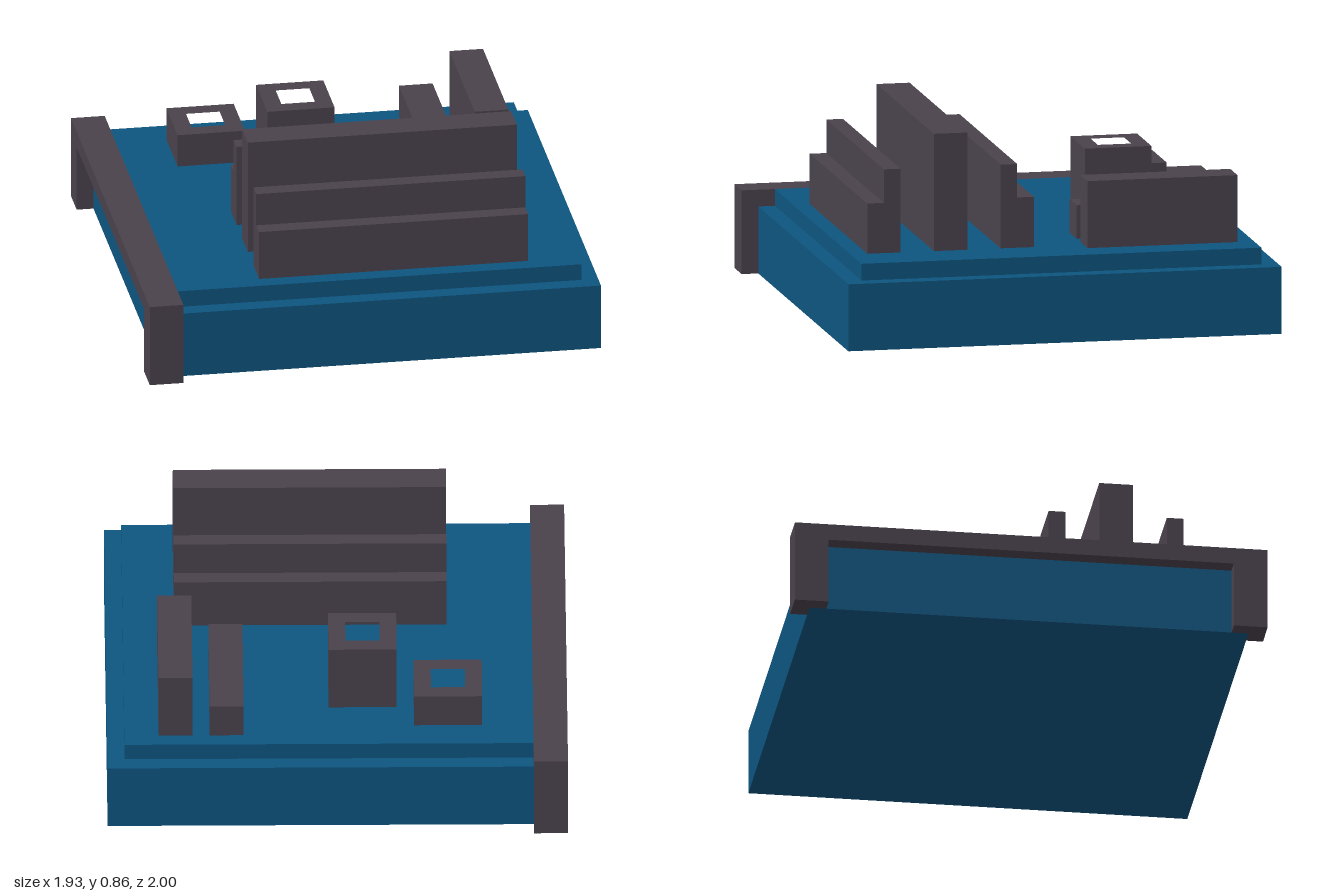
import * as THREE from 'three';

const U = 1 / 14; // grid unit of the blocky design
const DECK = 5; // deck height in grid units

export function createModel() {
  const group = new THREE.Group();
  const blue = new THREE.MeshStandardMaterial({ name: 'boardBlue', color: 0x0d5580 });
  const grey = new THREE.MeshStandardMaterial({ name: 'componentGrey', color: 0x4a424c });

  const add = (name, geometry, material) => {
    const mesh = new THREE.Mesh(geometry, material);
    mesh.name = name;
    group.add(mesh);
    return mesh;
  };

  // Box given by its minimum and maximum in grid units
  const box = (name, material, [x0, y0, z0], [x1, y1, z1]) => {
    const g = new THREE.BoxGeometry((x1 - x0) * U, (y1 - y0) * U, (z1 - z0) * U);
    g.translate(((x0 + x1) / 2) * U, ((y0 + y1) / 2) * U, ((z0 + z1) / 2) * U);
    return add(name, g, material);
  };

  const toPoints = (pts) => pts.map(([a, b]) => new THREE.Vector2(a * U, b * U));

  // Plan outline in (x, z), raised from y0 to y1
  const raise = (name, pts, y0, y1, hole) => {
    const shape = new THREE.Shape(toPoints(pts.map(([x, z]) => [x, -z])));
    if (hole) shape.holes.push(new THREE.Path(toPoints(hole.map(([x, z]) => [x, -z]))));
    const g = new THREE.ExtrudeGeometry(shape, { depth: (y1 - y0) * U, bevelEnabled: false });
    g.rotateX(-Math.PI / 2);
    g.translate(0, y0 * U, 0);
    return add(name, g, grey);
  };

  const square = (x, z, r) => [[x - r, z - r], [x + r, z - r], [x + r, z + r], [x - r, z + r]];

  // Board: base slab and slightly inset deck
  box('base', blue, [-12.5, 0, -13], [13.5, 4, 13]);
  box('deck', blue, [-11.5, 4, -12], [12.5, DECK, 12]);

  // Mounting bracket: beam along the side with a post wrapping each corner
  box('bracketBeam', grey, [-13.5, 4, -12], [-11.5, DECK, 12]);
  for (const s of [-1, 1]) {
    raise('bracketPost', [[-13.5, 12 * s], [-12.5, 12 * s], [-12.5, 13 * s],
      [-11.5, 13 * s], [-11.5, 14 * s], [-13.5, 14 * s]], 0, 4);
    box('bracketPostCap', grey, [-13.5, 4, s < 0 ? -14 : 12], [-11.5, DECK, s < 0 ? -12 : 14]);
  }

  // Hollow square sockets
  for (const [x, z, top] of [[-6.5, -8, 7], [-1.5, -6, 9]]) {
    raise('socket', square(x, z, 2), DECK, top, square(x, z, 1));
  }

  // Memory slots, one low and one tall
  box('lowSlot', grey, [5.5, DECK, -11], [7.5, 7, -2]);
  box('tallSlot', grey, [8.5, DECK, -11], [10.5, 9, -2]);

  // Long stepped slots either side of a tall card
  const stepped = (low, mid, high) => {
    const shape = new THREE.Shape(toPoints([[-low, DECK], [-high, DECK], [-high, 10],
      [-mid, 10], [-mid, 8], [-low, 8]]));
    const g = new THREE.ExtrudeGeometry(shape, { depth: 16 * U, bevelEnabled: false });
    g.rotateY(Math.PI / 2);
    g.translate(-6.5 * U, 0, 0);
    add('steppedSlot', g, grey);
  };
  stepped(11, 10, 9);
  stepped(1, 2, 3);
  box('tallCard', grey, [-6.5, DECK, 5], [9.5, 12, 7]);

  return group;
}
